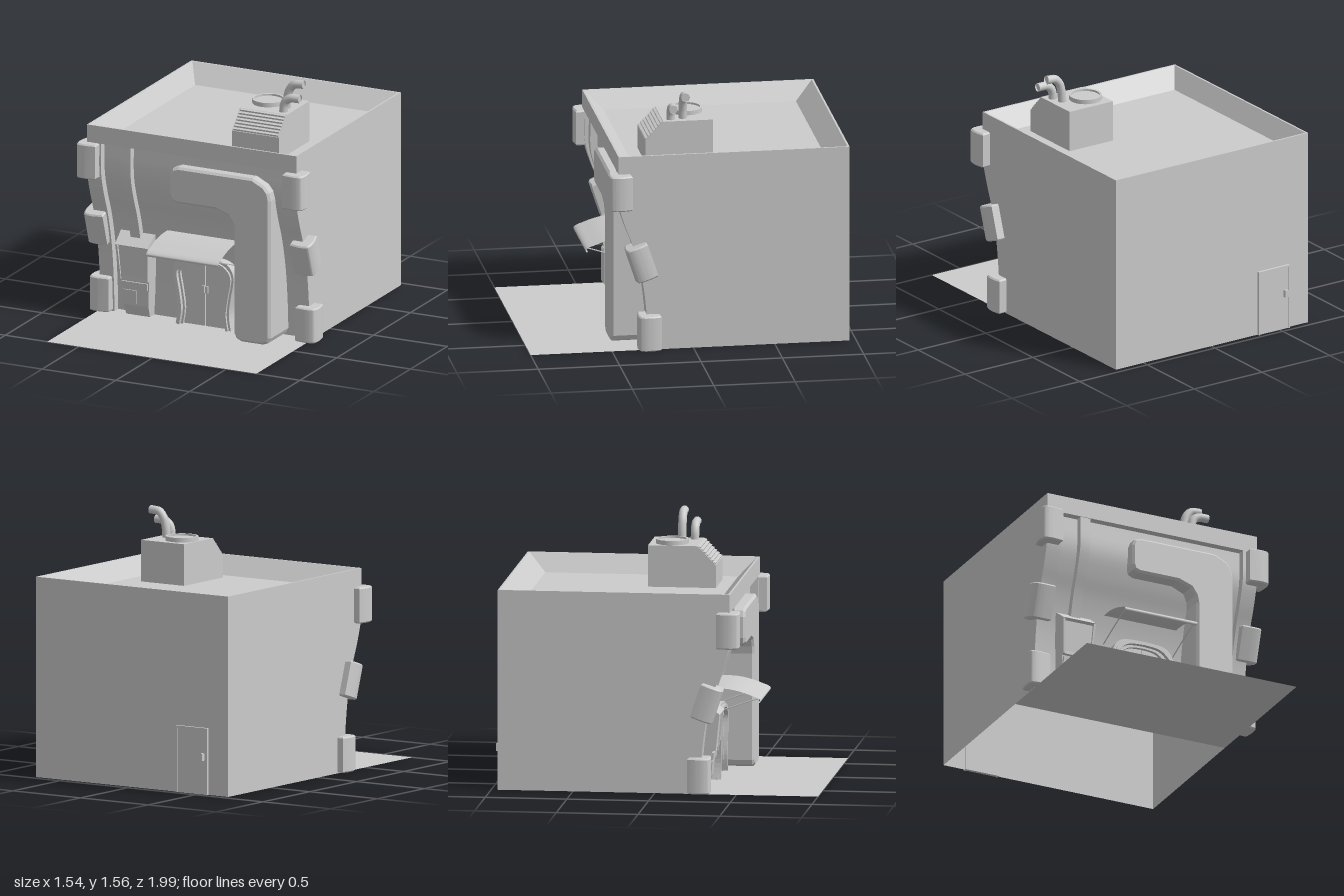
import * as THREE from 'three';
import { toCreasedNormals } from 'three/addons/utils/BufferGeometryUtils.js';

const mat = new THREE.MeshStandardMaterial({ color: 0xcccccc, side: THREE.DoubleSide });
const L = -0.715, R = 0.705, BACK = -0.96, FRONT = 0.46, TOP = 1.23, FLOOR = 1.12;
const V = (x, y, z) => new THREE.Vector3(x, y, z);

// Ruled surface between two polylines with the same number of points
function loft(a, b, flat = false) {
  const idx = [];
  for (let i = 0; i < a.length - 1; i++) {
    const p = i * 2;
    idx.push(p, p + 1, p + 3, p, p + 3, p + 2);
  }
  let g = new THREE.BufferGeometry().setFromPoints(a.flatMap((p, i) => [p, b[i]]));
  g.setIndex(idx);
  if (flat) g = g.toNonIndexed();
  g.computeVertexNormals();
  return g;
}
const rect = (x0, x1, z0, z1, y) =>
  [V(x0, y, z0), V(x0, y, z1), V(x1, y, z1), V(x1, y, z0), V(x0, y, z0)];
const shapeOf = pts => new THREE.Shape(pts.map(p => new THREE.Vector2(p[0], p[1])));

// Front-facing extrusion between two z planes
function slab(shape, z0, z1, bevel = 0) {
  return new THREE.ExtrudeGeometry(shape, {
    depth: z1 - z0 - bevel, bevelEnabled: bevel > 0, bevelSize: bevel,
    bevelOffset: -bevel, bevelThickness: bevel, bevelSegments: 1,
  }).translate(0, 0, z0);
}
// Side profile of [z, y] points extruded across x
function across(pts, x0, x1) {
  return new THREE.ExtrudeGeometry(shapeOf(pts), { depth: x1 - x0, bevelEnabled: false })
    .rotateY(-Math.PI / 2).translate(x1, 0, 0);
}

export function createModel() {
  const model = new THREE.Group();
  const add = (name, geo, parent = model) => {
    const m = new THREE.Mesh(geo, mat);
    m.name = name;
    parent.add(m);
    return m;
  };
  const group = name => {
    const g = new THREE.Group();
    g.name = name;
    model.add(g);
    return g;
  };
  const box = (name, w, h, d, x, y, z, parent) =>
    add(name, new THREE.BoxGeometry(w, h, d).translate(x, y, z), parent);

  // Curved front profile, top to bottom
  const curve = new THREE.CatmullRomCurve3([[0.46, 1.12], [0.458, 0.93], [0.42, 0.79], [0.37, 0.66],
    [0.333, 0.53], [0.307, 0.4], [0.285, 0.2], [0.275, 0]].map(p => V(0, p[1], p[0])));
  const profile = curve.getPoints(32);
  const row = (x, back = 0) => profile.map(p => V(x, p.y, p.z - back));

  // Shell: side walls, back wall, front band and pilasters
  const shell = group('buildingShell');
  const sidePts = [[BACK, 0], [BACK, TOP], [FRONT, TOP], ...profile.map(p => [p.z, p.y])];
  for (const x of [L, R]) {
    add('sideWall', new THREE.ShapeGeometry(shapeOf(sidePts)).rotateY(-Math.PI / 2).translate(x, 0, 0), shell);
  }
  add('backWall', loft([V(L, 0, BACK), V(R, 0, BACK)], [V(L, TOP, BACK), V(R, TOP, BACK)]), shell);
  add('frontBand', loft([V(L, FLOOR, FRONT), V(R, FLOOR, FRONT)], [V(L, TOP, FRONT), V(R, TOP, FRONT)]), shell);
  const IN = [-0.62, 0.61], REC = 0.05;
  add('bandUnderside', loft([V(IN[0], FLOOR, FRONT - REC), V(IN[1], FLOOR, FRONT - REC)],
    [V(IN[0], FLOOR, FRONT), V(IN[1], FLOOR, FRONT)]), shell);
  [[L, IN[0]], [R, IN[1]]].forEach(([o, i]) => {
    add('pilaster', loft(row(o), row(i)), shell);
    add('pilasterReveal', loft(row(i), row(i, REC)), shell);
  });
  add('frontPanel', loft(row(IN[0], REC), row(IN[1], REC)), shell);

  // Roof with sloped parapet
  const rim = rect(L + 0.012, R - 0.012, BACK + 0.012, FRONT - 0.012, TOP);
  const foot = rect(-0.63, 0.61, -0.84, 0.34, FLOOR);
  add('parapetRim', loft(rect(L, R, BACK, FRONT, TOP), rim, true), shell);
  add('parapetSlope', loft(rim, foot, true), shell);
  add('roofFloor', loft([foot[0], foot[1]], [foot[3], foot[2]]), shell);

  add('ground', new THREE.PlaneGeometry(R - L, 0.98).rotateX(-Math.PI / 2).translate((L + R) / 2, 0, 0.51));

  // Corner blocks: rounded footprint around each front corner
  const footprint = new THREE.Shape();
  footprint.moveTo(-0.07, -0.065);
  footprint.lineTo(0.06, -0.07);
  footprint.quadraticCurveTo(0.085, 0.01, 0.062, 0.058);
  footprint.quadraticCurveTo(0.05, 0.07, 0, 0.07);
  footprint.lineTo(-0.065, 0.062);
  const blockGeo = toCreasedNormals(new THREE.ExtrudeGeometry(footprint, {
    depth: 0.204, bevelEnabled: true, bevelSize: 0.008, bevelOffset: -0.008, bevelThickness: 0.008, bevelSegments: 1,
  }).translate(0, 0, -0.102).rotateX(Math.PI / 2), 0.6);
  const blocks = group('cornerBlocks');
  [[1.01, 0.45, 0], [0.56, 0.322, 0.32], [0.115, 0.273, 0]].forEach(([y, z, tilt]) => {
    for (const s of [-1, 1]) {
      const m = add('cornerBlock', blockGeo, blocks);
      m.position.set(s * 0.698, y, z);
      m.rotation.x = tilt;
      m.scale.x = s;
    }
  });

  // Hooked column on the front
  add('hookColumn', slab(shapeOf([[0.29, 0.045], [0.305, 0.015], [0.34, 0], [0.485, 0], [0.52, 0.015], [0.535, 0.045],
    [0.535, 0.92], [0.525, 0.97], [0.495, 1.01], [0.415, 1.05], [-0.09, 1.05], [-0.13, 1.035], [-0.145, 1],
    [-0.145, 0.87], [-0.135, 0.835], [-0.1, 0.82], [0.165, 0.82], [0.25, 0.79], [0.28, 0.745], [0.29, 0.7]]),
  0.2, 0.48, 0.014));

  // Entrance: nested arch frames and a pair of leaves
  const entrance = group('entrance');
  const half = d => new THREE.SplineCurve([[0.187, 0], [0.173, 0.1], [0.186, 0.21], [0.205, 0.32], [0.188, 0.39],
    [0.13, 0.432], [0, 0.442]].map(([w, y], i) => new THREE.Vector2(i === 6 ? 0 : w - d, i > 3 ? y - d : y)))
    .getPoints(24).map(p => [p.x, p.y]);
  const arch = d => {
    const h = half(d);
    return [...h, ...h.slice(0, -1).reverse().map(([x, y]) => [-x, y])];
  };
  [[0, 0.014, 0.32], [0.014, 0.03, 0.335], [0.03, 0.043, 0.31]].forEach(([o, i, z]) =>
    add('archFrame', slab(shapeOf([...arch(o), ...arch(i).reverse()]), 0.2, z).translate(0.004, 0, 0), entrance));
  for (const s of [-1, 1]) {
    const pts = [[0.002, 0], ...half(0.043).map(([x, y]) => [Math.max(x, 0.002), y])];
    add('doorLeaf', slab(shapeOf(pts.map(([x, y]) => [s * x, y])), 0.22, 0.29).translate(0.004, 0, 0), entrance);
    box('doorHandle', 0.016, 0.045, 0.014, 0.004 + s * 0.012, 0.233, 0.295, entrance);
  }

  // Awning sheet with struts
  const awning = group('awning');
  const sheet = new THREE.CatmullRomCurve3([[0.27, 0.575], [0.38, 0.572], [0.46, 0.557], [0.53, 0.534], [0.575, 0.516],
    [0.588, 0.503], [0.584, 0.491], [0.574, 0.492]].map(p => V(0, p[1], p[0]))).getPoints(28);
  add('awningSheet', loft(sheet.map(p => V(-0.25, p.y, p.z)), sheet.map(p => V(0.238, p.y, p.z))), awning);
  for (const x of [-0.236, 0.228]) {
    const path = new THREE.QuadraticBezierCurve3(V(x, 0.4, 0.26), V(x, 0.475, 0.44), V(x, 0.515, 0.575));
    add('awningStrut', new THREE.TubeGeometry(path, 10, 0.004, 6), awning);
  }

  // Duct following the wall down into the kiosk
  const duct = group('wallDuct');
  const lower = (x, back) => row(x, back).filter(p => p.y > 0.47);
  add('ductFace', loft(lower(-0.488, 0.005), lower(-0.422, 0.005)), duct);
  for (const x of [-0.488, -0.422]) add('ductSide', loft(lower(x, 0.005), lower(x, 0.07)), duct);

  // Kiosk, tapering towards the ground
  const kiosk = group('kiosk');
  const taper = g => {
    const p = g.attributes.position;
    for (let i = 0; i < p.count; i++) p.setX(i, -0.455 + p.getX(i) * (0.08 + 0.035 * p.getY(i) / 0.53));
    g.computeVertexNormals();
    return g;
  };
  add('kioskBody', taper(across([[0.2, 0], [0.285, 0], [0.315, 0.07], [0.33, 0.235], [0.345, 0.24],
    [0.345, 0.26], [0.36, 0.455], [0.38, 0.465], [0.29, 0.53], [0.2, 0.53]], -1, 1)), kiosk);
  for (const s of [-0.94, 0.94]) {
    add('screenSide', taper(across([[0.33, 0.24], [0.352, 0.24], [0.377, 0.465], [0.34, 0.465]], s - 0.06, s + 0.06)), kiosk);
  }
  add('shelf', taper(across([[0.31, 0.18], [0.335, 0.18], [0.34, 0.225], [0.31, 0.225]], -0.93, 0.93)), kiosk);
  add('hatch', taper(across([[0.3, 0.085], [0.323, 0.085], [0.331, 0.17], [0.31, 0.17]], -0.85, 0.1)), kiosk);

  // Back door
  const backDoor = group('backDoor');
  add('doorFrame', slab(shapeOf([[-0.57, 0], [-0.57, 0.41], [-0.34, 0.41], [-0.34, 0], [-0.352, 0], [-0.352, 0.398],
    [-0.558, 0.398], [-0.558, 0]]), -0.977, -0.95), backDoor);
  box('doorPanel', 0.206, 0.398, 0.02, -0.455, 0.199, -0.96, backDoor);
  box('handlePlate', 0.02, 0.045, 0.025, -0.537, 0.232, -0.98, backDoor);

  // Rooftop unit with louvres, fan and elbow pipes
  const unit = group('rooftopUnit');
  add('unitBody', across([[-0.155, FLOOR], [0.26, FLOOR], [0.26, 1.26], [0.15, 1.375], [-0.155, 1.375]], 0.168, 0.488), unit);
  for (let i = 0; i < 7; i++) {
    const t = (i + 0.6) / 7.2;
    const m = add('louvre', new THREE.BoxGeometry(0.305, 0.012, 0.016), unit);
    m.position.set(0.328, 1.26 + 0.115 * t, 0.26 - 0.11 * t);
    m.rotation.x = 0.3;
  }
  add('fanRing', toCreasedNormals(new THREE.LatheGeometry([[0.1, 1.37], [0.1, 1.402], [0.087, 1.402], [0.087, 1.39],
    [0, 1.39]].map(p => new THREE.Vector2(...p)), 32), 0.6).translate(0.278, 0, -0.02), unit);
  const pipe = (pts, z) => {
    const path = new THREE.CatmullRomCurve3(pts.map(p => V(p[0], p[1], z)), false, 'catmullrom', 0.4);
    add('elbowPipe', new THREE.TubeGeometry(path, 28, 0.026, 16), unit);
    add('pipeEnd', new THREE.CircleGeometry(0.026, 16).rotateY(Math.PI / 2)
      .translate(pts.at(-1)[0] - 0.008, pts.at(-1)[1], z), unit);
  };
  pipe([[0.42, 1.36], [0.425, 1.43], [0.44, 1.49], [0.475, 1.53], [0.538, 1.537]], 0.022);
  pipe([[0.437, 1.36], [0.44, 1.41], [0.455, 1.445], [0.49, 1.466], [0.55, 1.468]], 0.098);

  return model;
}
